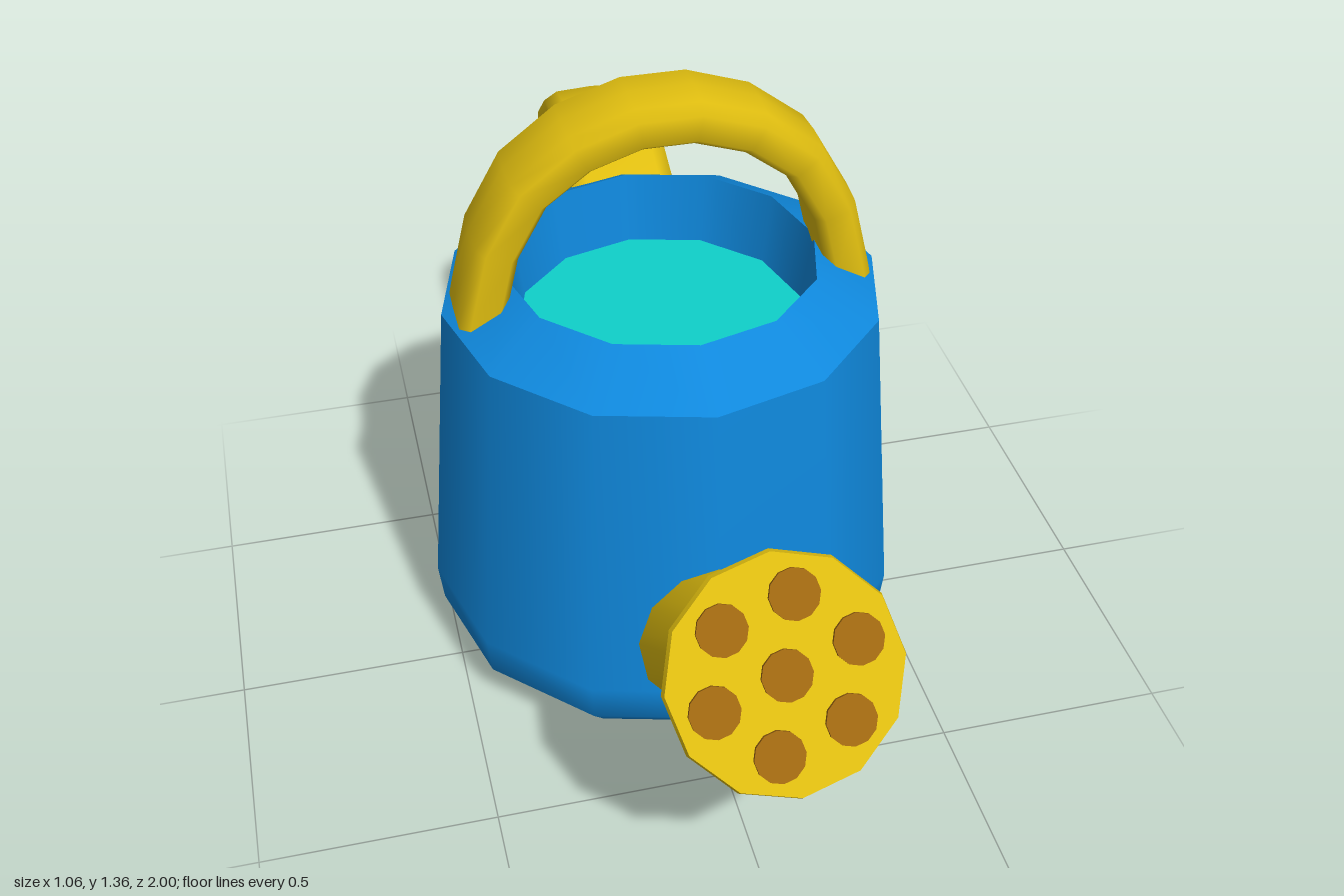
import * as THREE from 'three';

const mat = (name, color, side = THREE.FrontSide) => {
  const m = new THREE.MeshStandardMaterial({ color, side });
  m.name = name;
  return m;
};

const lathe = (profile) =>
  new THREE.LatheGeometry(profile.map(([r, y]) => new THREE.Vector2(r, y)), 12);

// Rounded strap section, one quarter-mirrored loop of [across, through]
const SECTION = [
  [1, -0.55], [1, 0.55], [0.72, 0.92], [0, 1], [-0.72, 0.92],
  [-1, 0.55], [-1, -0.55], [-0.72, -0.92], [0, -1], [0.72, -0.92],
];

// Sweeps the strap section along [x, y, halfThickness] points in the xy plane
function strap(path, halfWidth) {
  const pos = [], index = [], n = SECTION.length;
  path.forEach(([x, y, h], i) => {
    const a = path[Math.max(i - 1, 0)], b = path[Math.min(i + 1, path.length - 1)];
    const len = Math.hypot(b[0] - a[0], b[1] - a[1]);
    const nx = -(b[1] - a[1]) / len, ny = (b[0] - a[0]) / len;
    for (const [w, t] of SECTION) pos.push(x + nx * h * t, y + ny * h * t, w * halfWidth);
    if (i === 0) return;
    for (let j = 0; j < n; j++) {
      const k = (j + 1) % n, p = (i - 1) * n, q = i * n;
      index.push(p + j, q + j, p + k, q + j, q + k, p + k);
    }
  });
  const g = new THREE.BufferGeometry();
  g.setAttribute('position', new THREE.Float32BufferAttribute(pos, 3));
  g.setIndex(index);
  g.computeVertexNormals();
  return g;
}

export function createModel() {
  const blue = mat('blue', 0x0f88dc);
  const yellow = mat('yellow', 0xe0be10);
  const strapYellow = yellow;
  const brown = mat('brown', 0xa06810);
  const aqua = mat('aqua', 0x0fd0ca);

  const model = new THREE.Group();
  model.name = 'wateringCan';
  const add = (parent, name, geometry, material) => {
    const mesh = new THREE.Mesh(geometry, material);
    mesh.name = name;
    parent.add(mesh);
    return mesh;
  };

  // Can: wall with rounded foot, sloping shoulder, inner wall and water
  const can = new THREE.Group();
  can.name = 'can';
  can.position.z = -0.092;
  model.add(can);
  add(can, 'wall', lathe([[0, 0], [0.36, 0.003], [0.46, 0.03], [0.52, 0.1], [0.53, 0.19], [0.47, 0.89]]), blue);
  add(can, 'shoulder', lathe([[0.47, 0.89], [0.335, 0.967]]), blue);
  add(can, 'innerWall', lathe([[0.335, 0.967], [0.31, 0.8]]), blue);
  add(can, 'water', lathe([[0.311, 0.81], [0, 0.81]]), aqua);

  // Arched top handle, mirrored from its right half
  const half = [[0.405, 0.85], [0.39, 0.92], [0.355, 1.065], [0.285, 1.19], [0.18, 1.27], [0.06, 1.31]]
    .map(([x, y]) => [x, y, 0.05]);
  const arch = [...half, ...half.map(([x, y, h]) => [-x, y, h]).reverse()];
  add(model, 'topHandle', strap(arch, 0.095), strapYellow).position.z = -0.092;

  // Back handle, drawn as [z, y, halfThickness]
  const loop = [
    [-0.46, 0.905, 0.03], [-0.57, 0.95, 0.035], [-0.69, 0.97, 0.04], [-0.795, 0.945, 0.047],
    [-0.88, 0.87, 0.053], [-0.93, 0.755, 0.057], [-0.941, 0.64, 0.058], [-0.92, 0.515, 0.055],
    [-0.855, 0.4, 0.05], [-0.76, 0.31, 0.044], [-0.56, 0.165, 0.036],
  ];
  add(model, 'backHandle', strap(loop, 0.115).rotateY(-Math.PI / 2), strapYellow);

  // Tapered spout tube, running down into the can
  const tube = add(model, 'spout', lathe([[0.19, -0.6], [0.105, 0]]), yellow);
  tube.position.set(0, 0.57, 0.715);
  tube.rotation.x = 0.927;

  // Flared rose with its face and holes
  const rose = new THREE.Group();
  rose.name = 'rose';
  rose.position.copy(tube.position);
  rose.rotation.x = 0.964;
  model.add(rose);
  add(rose, 'flare', lathe([[0.105, 0], [0.23, 0.177]]), yellow);
  add(rose, 'lip', lathe([[0.23, 0.177], [0.226, 0.19]]), yellow);
  add(rose, 'face', lathe([[0.226, 0.19], [0, 0.19]]), yellow);
  const hole = new THREE.CylinderGeometry(0.049, 0.049, 0.009, 12);
  for (let i = 0; i < 7; i++) {
    const r = i < 6 ? 0.147 : 0, a = THREE.MathUtils.degToRad(17 + 60 * i);
    add(rose, 'hole', hole, brown).position.set(r * Math.cos(a), 0.193, -r * Math.sin(a));
  }

  return model;
}
